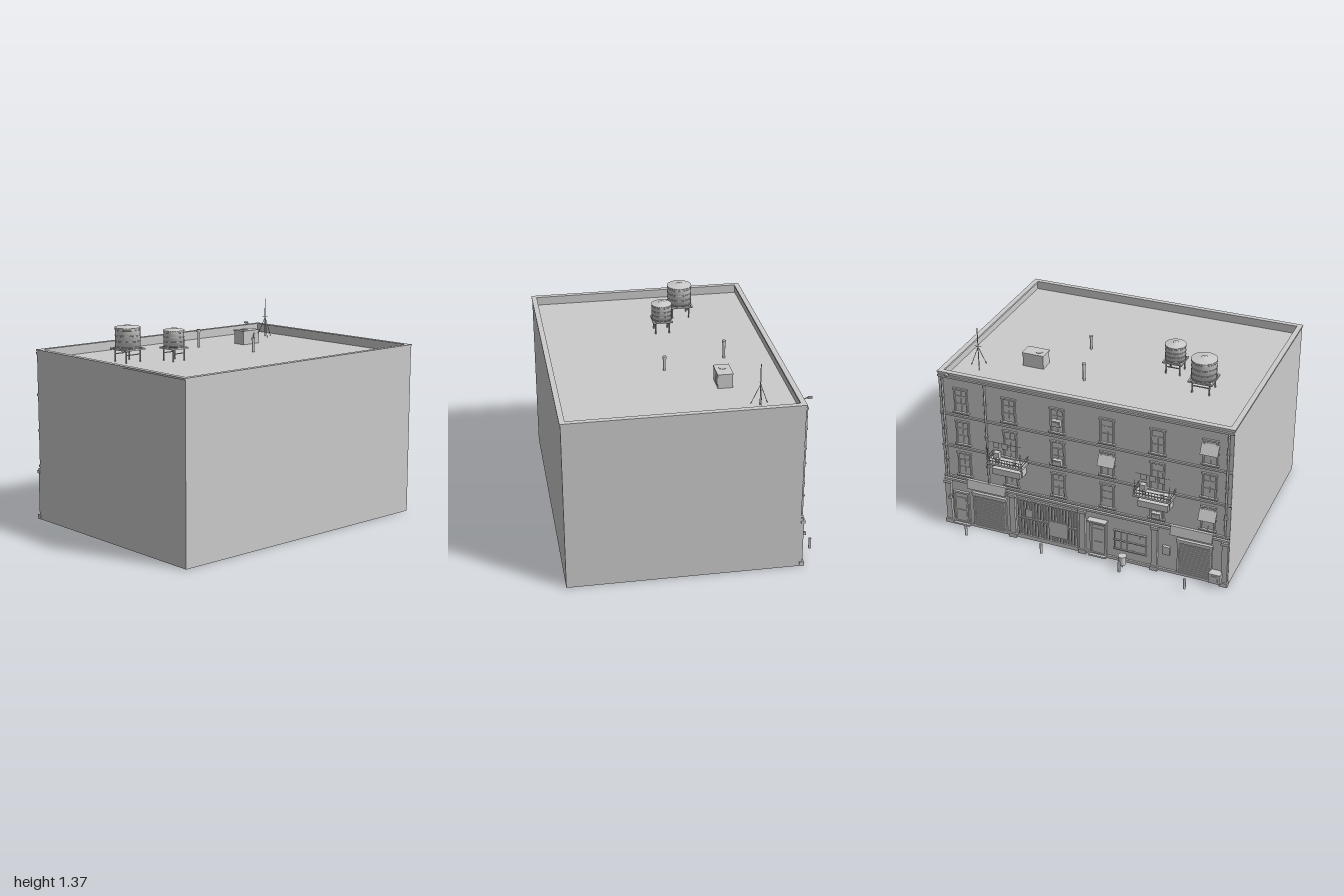
import * as THREE from 'three';

const mat = new THREE.MeshStandardMaterial({ color: 0xcccccc, side: THREE.DoubleSide });
const F = -0.68;      // facade plane, street side is -z
const DECK = 1.09;    // roof deck height

export function createModel() {
  const root = new THREE.Group();
  root.name = 'cornerBuilding';

  const add = (name, geo, x, y, z, parent = root) => {
    const m = new THREE.Mesh(geo, mat);
    m.name = name;
    m.position.set(x, y, z);
    parent.add(m);
    return m;
  };
  const box = (name, w, h, d, x, y, z, p) => add(name, new THREE.BoxGeometry(w, h, d), x, y, z, p);
  // box on the facade: centre x, bottom y, standing out from the wall by d, starting at offset o
  const wall = (name, w, h, d, x, y, o = 0, p) => box(name, w, h, d, x, y + h / 2, F - o - d / 2, p);
  const cyl = (name, r, h, x, y, z, p, n = 12) =>
    add(name, new THREE.CylinderGeometry(r, r, h, n), x, y + h / 2, z, p);
  const rod = (name, a, b, r, p) => {
    const A = new THREE.Vector3(...a), B = new THREE.Vector3(...b), d = B.clone().sub(A);
    const m = add(name, new THREE.CylinderGeometry(r, r, d.length(), 6), 0, 0, 0, p);
    m.position.copy(A).add(B).multiplyScalar(0.5);
    m.quaternion.setFromUnitVectors(new THREE.Vector3(0, 1, 0), d.normalize());
    return m;
  };
  const group = (name) => { const g = new THREE.Group(); g.name = name; root.add(g); return g; };

  // Main block, parapet and coping
  box('mainBlock', 1.99, DECK, 1.49, 0, DECK / 2, 0.065);
  const ring = (name, t, h, y, grow) => {
    const w = 0.995 + grow, z0 = F - grow, z1 = 0.81 + grow;
    const s = new THREE.Shape([[-w, -z0], [w, -z0], [w, -z1], [-w, -z1]].map(p => new THREE.Vector2(...p)));
    s.holes.push(new THREE.Path([[-w + t, -z0 - t], [w - t, -z0 - t], [w - t, -z1 + t], [-w + t, -z1 + t]]
      .map(p => new THREE.Vector2(...p))));
    add(name, new THREE.ExtrudeGeometry(s, { depth: h, bevelEnabled: false }), 0, y, 0).rotation.x = -Math.PI / 2;
  };
  ring('parapet', 0.025, 0.05, DECK, 0);
  ring('coping', 0.035, 0.012, 1.138, 0.005);

  // Water tanks on square stands
  const tank = (x, z, r, top) => {
    const g = group('waterTank'), base = 1.18, h = top - 0.015 - base;
    const prof = [[0, 0], [r, 0], [r, h], [r * 1.03, h], [r * 1.03, h + 0.006], [0.02, h + 0.01], [0.02, h + 0.018], [0, h + 0.018]];
    add('tankBody', new THREE.LatheGeometry(prof.map(p => new THREE.Vector2(...p)), 28), x, base, z, g);
    for (let i = 0; i < 4; i++) {
      const hoop = add('tankHoop', new THREE.TorusGeometry(r, 0.0025, 5, 28), x, base + h * (0.08 + i * 0.28), z, g);
      hoop.rotation.x = Math.PI / 2;
    }
    for (const s of [-1, 1]) {
      box('standBeam', r * 2, 0.01, 0.01, x, 1.174, z + s * (r - 0.005), g);
      box('standBeam', 0.01, 0.01, r * 2, x + s * (r - 0.005), 1.174, z, g);
      box('standBrace', r * 1.5, 0.006, 0.006, x, 1.14, z + s * r * 0.7, g);
      for (const t of [-1, 1]) cyl('standLeg', 0.005, 0.09, x + s * r * 0.7, DECK, z + t * r * 0.7, g, 6);
    }
  };
  tank(-0.63, -0.185, 0.082, 1.325);
  tank(-0.38, -0.02, 0.067, 1.3);

  // Vent pipes and roof unit
  for (const [x, z, top] of [[0.12, -0.35, 1.213], [0.245, 0.065, 1.188]]) {
    cyl('ventPipe', 0.009, top - DECK - 0.012, x, DECK, z);
    cyl('ventCap', 0.013, 0.018, x, top - 0.018, z);
  }
  box('roofUnit', 0.145, 0.09, 0.095, 0.495, DECK + 0.045, -0.268);
  box('roofUnitLid', 0.152, 0.008, 0.102, 0.495, 1.182, -0.268);
  cyl('roofUnitFan', 0.024, 0.004, 0.47, 1.185, -0.268);
  box('roofUnitGrille', 0.05, 0.045, 0.008, 0.54, 1.14, -0.218);

  // Antenna mast with tripod
  const ant = group('antenna');
  cyl('mast', 0.003, 1.365 - DECK, 0.83, DECK, -0.43, ant, 6);
  for (let i = 0; i < 3; i++) {
    const a = i * Math.PI * 2 / 3;
    rod('tripodLeg', [0.83, 1.23, -0.43], [0.83 + Math.cos(a) * 0.055, DECK, -0.43 + Math.sin(a) * 0.06], 0.002, ant);
  }
  rod('crossBar', [0.805, 1.235, -0.43], [0.855, 1.235, -0.43], 0.0018, ant);
  rod('roofLampArm', [0.91, 1.14, -0.67], [0.91, 1.16, -0.71], 0.004);
  box('roofLamp', 0.014, 0.012, 0.03, 0.91, 1.155, -0.72);

  // Floor bands
  for (const y of [0.36, 0.6, 0.84]) wall('floorBand', 1.99, 0.014, 0.012, 0, y);
  wall('topCornice', 1.99, 0.015, 0.012, 0, 1.115);

  // Windows: three rows of six
  const cols = [0.84, 0.5, 0.165, -0.175, -0.51, -0.85], rows = [0.88, 0.64, 0.4];
  const windowAt = (x, y, w, h) => {
    const g = group('window');
    for (const s of [-1, 1]) wall('windowJamb', 0.01, h, 0.01, x + s * w / 2, y, 0, g);
    wall('windowHead', w + 0.02, 0.012, 0.012, x, y + h, 0, g);
    wall('windowSill', w + 0.03, 0.01, 0.018, x, y - 0.01, 0, g);
    wall('windowPane', w, h, 0.002, x, y, 0, g);
    wall('windowMullion', 0.007, h, 0.007, x, y, 0, g);
    for (const f of [0.36, 0.7]) wall('windowBar', w, 0.005, 0.006, x, y + h * f, 0, g);
  };
  const balconyCols = [0.5, -0.51];
  rows.forEach((y, r) => cols.forEach(x => {
    const door = r === 1 && balconyCols.includes(x);
    windowAt(x, door ? 0.615 : y, 0.085, door ? 0.185 : 0.16);
  }));

  // Sloped awnings over windows
  for (const [x, y] of [[-0.85, 1.02], [-0.175, 0.78], [-0.85, 0.54]]) {
    const g = group('windowAwning');
    const m = box('awningSheet', 0.115, 0.075, 0.004, x, y - 0.03, F - 0.022, g);
    m.rotation.x = 0.5;
    for (const s of [-1, 1]) rod('awningStay', [x + s * 0.055, y - 0.06, F], [x + s * 0.055, y - 0.06, F - 0.038], 0.002, g);
  }
  // Air conditioners by windows
  for (const [x, y] of [[0.165, 0.93], [-0.51, 0.405], [0.165, 0.64]]) {
    wall('airConditioner', 0.06, 0.04, 0.03, x, y);
    wall('airConditionerGrille', 0.045, 0.028, 0.004, x, y + 0.006, 0.03);
  }

  // Balconies with rails, plants and washing
  for (const x of balconyCols) {
    const g = group('balcony');
    wall('balconySlab', 0.25, 0.014, 0.105, x, 0.592, 0, g);
    wall('balconyUnderside', 0.2, 0.045, 0.085, x, 0.513, 0, g);
    for (const s of [-1, 1]) {
      wall('balconyBracket', 0.012, 0.08, 0.06, x + s * 0.1, 0.513, 0, g);
      for (const y of [0.622, 0.642]) wall('sideRail', 0.004, 0.004, 0.1, x + s * 0.122, y, 0, g);
    }
    for (const y of [0.622, 0.642]) wall('frontRail', 0.25, 0.004, 0.004, x, y, 0.1, g);
    for (let i = 0; i <= 12; i++) wall('railBar', 0.003, 0.04, 0.003, x - 0.122 + i * 0.0203, 0.604, 0.1, g);
    wall('balconyCabinet', 0.035, 0.05, 0.035, x + 0.08, 0.606, 0.02, g);
    for (const s of [-1, 1]) wall('linePost', 0.004, 0.11, 0.004, x + s * 0.115, 0.606, 0.1, g);
    wall('washingLine', 0.23, 0.002, 0.002, x, 0.757, 0.083, g);
    for (const i of [-1, 0, 1]) wall('washing', 0.04, 0.04, 0.002, x + i * 0.06, 0.717, 0.083, g);
    for (const i of [-1, 1]) cyl('plantPot', 0.012, 0.025, x + i * 0.06, 0.606, F - 0.075, g, 8);
  }

  // Drainpipes
  for (const x of [0.965, 0.665, -0.965]) {
    cyl('drainpipe', 0.007, 0.74, x, 0.37, F - 0.01, root, 8);
    for (const y of [0.5, 0.73, 0.97]) wall('pipeClip', 0.022, 0.008, 0.02, x, y);
  }

  // Ground floor pilasters and plinth
  for (const x of [0.972, 0.5, 0, -0.5, -0.972]) {
    wall('pilaster', 0.04, 0.33, 0.02, x, 0);
    wall('pilasterBase', 0.055, 0.03, 0.03, x, 0);
    wall('pilasterHead', 0.052, 0.02, 0.028, x, 0.315);
  }
  wall('plinth', 1.99, 0.02, 0.012, 0, 0);
  wall('shopLintel', 1.99, 0.015, 0.015, 0, 0.335);

  // Shop fronts: roller shutters, gate, doors and display window
  const shutter = (x, w, h) => {
    const g = group('rollerShutter');
    for (let i = 0; i < 14; i++) wall('shutterSlat', w, h / 14 - 0.004, 0.008, x, 0.02 + i * h / 14, 0, g);
    for (const s of [-1, 1]) wall('shutterRail', 0.012, h, 0.014, x + s * w / 2, 0.02, 0, g);
    wall('shutterBox', w + 0.02, 0.025, 0.02, x, 0.02 + h, 0, g);
  };
  const door = (x) => {
    const g = group('shopDoor');
    for (const s of [-1, 1]) wall('doorJamb', 0.012, 0.235, 0.014, x + s * 0.052, 0.01, 0, g);
    wall('doorHead', 0.116, 0.014, 0.016, x, 0.245, 0, g);
    wall('doorLeaf', 0.095, 0.23, 0.004, x, 0.012, 0, g);
    for (const y of [0.03, 0.13]) wall('doorPanel', 0.065, 0.08, 0.004, x, y, 0.004, g);
    wall('doorStep', 0.12, 0.012, 0.03, x, 0, 0, g);
  };
  shutter(0.67, 0.23, 0.235);
  shutter(-0.77, 0.22, 0.235);
  door(0.88);
  door(-0.11);
  wall('doorCanopy', 0.13, 0.012, 0.045, -0.11, 0.275);

  for (let i = 0; i < 22; i++) wall('gateBar', 0.006, 0.28, 0.008, 0.04 + i * 0.02, 0.02);
  for (const y of [0.02, 0.16, 0.3]) wall('gateRail', 0.43, 0.01, 0.012, 0.25, y);
  wall('gatePoster', 0.13, 0.12, 0.006, 0.17, 0.07, 0.008);
  wall('gateNotice', 0.05, 0.06, 0.006, 0.38, 0.18, 0.008);

  wall('displayPane', 0.21, 0.14, 0.003, -0.33, 0.09);
  for (let i = 0; i < 6; i++) wall('displayBar', 0.007, 0.14, 0.009, -0.435 + i * 0.042, 0.09);
  for (const y of [0.085, 0.155, 0.228]) wall('displayRail', 0.23, 0.008, 0.012, -0.33, y);

  // Blank sign boards, tilted forward
  for (const x of [0.68, -0.75]) box('signBoard', 0.28, 0.065, 0.012, x, 0.345, F - 0.024).rotation.x = 0.2;

  // Street furniture
  for (const x of [0.8, 0.25, -0.3, -0.75]) cyl('bollard', 0.009, 0.075, x, 0, x === -0.75 ? -0.812 : -0.8, root, 10);
  const bin = group('bin');
  cyl('binBody', 0.025, 0.06, -0.3, 0.025, -0.745, bin, 16);
  cyl('binPost', 0.006, 0.03, -0.3, 0, -0.745, bin, 8);
  cyl('binRim', 0.028, 0.008, -0.3, 0.082, -0.745, bin, 16);
  wall('utilityBox', 0.08, 0.07, 0.055, -0.92, 0.03);
  wall('utilityBoxFan', 0.045, 0.045, 0.004, -0.92, 0.042, 0.055);
  wall('meterBox', 0.05, 0.06, 0.02, -0.58, 0.14);
  wall('wallLampArm', 0.006, 0.006, 0.04, 0.95, 0.22);
  wall('wallLamp', 0.02, 0.018, 0.02, 0.95, 0.205, 0.025);
  return root;
}
